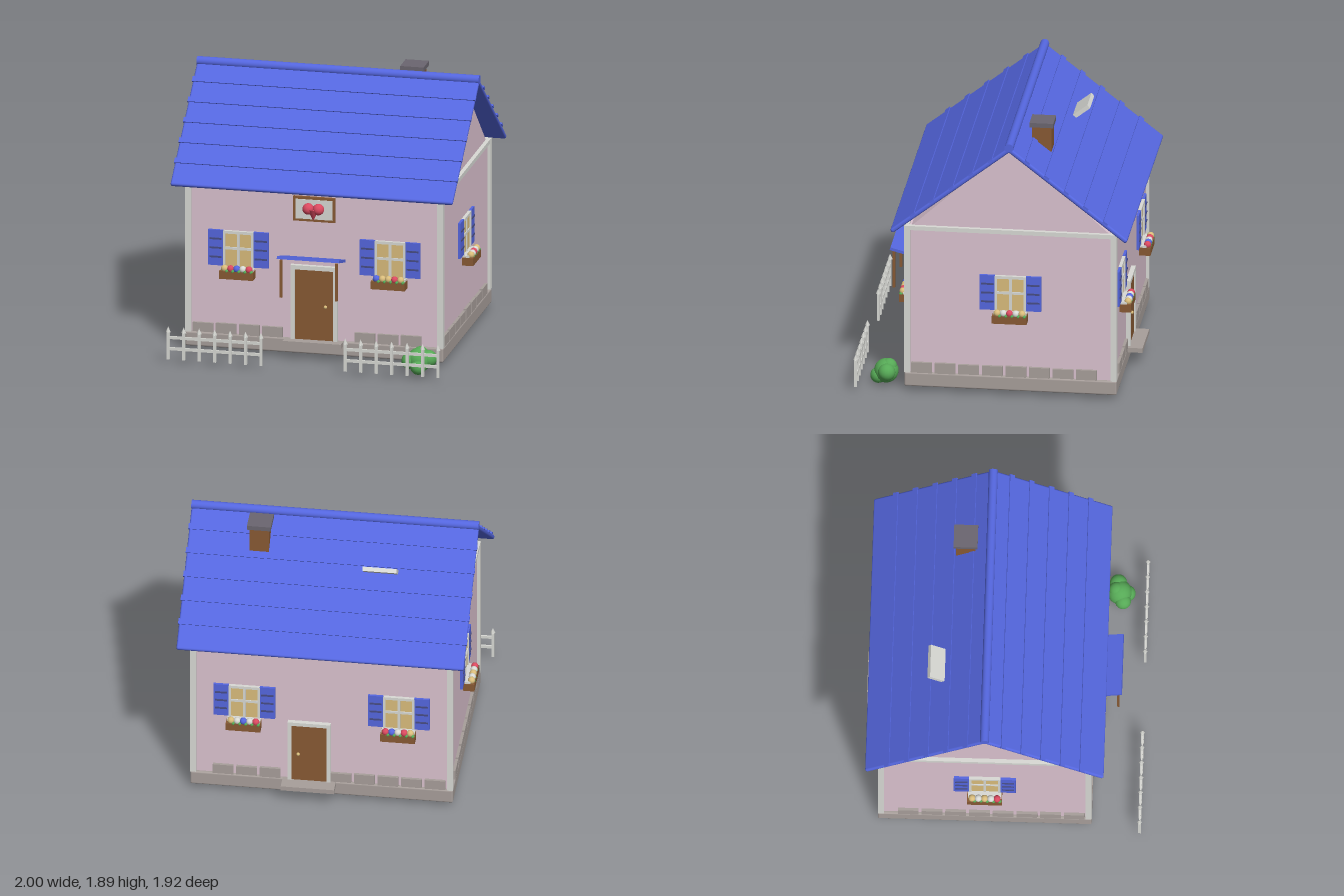
import * as THREE from 'three';
import { RoundedBoxGeometry } from 'three/addons/geometries/RoundedBoxGeometry.js';

const mat = (name, color) => {
  const m = new THREE.MeshStandardMaterial({ color });
  m.name = name;
  return m;
};

export function createModel() {
  const pink = mat('wallPink', 0xdcc3d0), blue = mat('roofBlue', 0x5567e0), white = mat('trimWhite', 0xd9dad5);
  const stone = mat('stoneGrey', 0xa89f9b), dark = mat('capGrey', 0x6b6670), brown = mat('woodBrown', 0x885a34);
  const tan = mat('warmYellow', 0xdabd7c), red = mat('rosyRed', 0xdb4a60), green = mat('leafGreen', 0x56a956);
  const slat = mat('slatBlue', 0x474d86);

  const MID = -0.125;            // z of the house centre
  const HX = 0.89, HZ = 0.715;   // half sizes of the walls
  const model = new THREE.Group();
  model.name = 'cottage';

  const add = (parent, name, geo, m, x, y, z) => {
    const mesh = new THREE.Mesh(geo, m);
    mesh.name = name;
    mesh.position.set(x, y, z);
    parent.add(mesh);
    return mesh;
  };
  const box = (p, name, m, w, h, d, x, y, z) => add(p, name, new THREE.BoxGeometry(w, h, d), m, x, y, z);
  const ball = (p, name, m, r, x, y, z) => add(p, name, new THREE.SphereGeometry(r, 18, 12), m, x, y, z);
  const group = (parent, name, x, y, z, ry = 0) => {
    const g = new THREE.Group();
    g.name = name;
    g.position.set(x, y, z);
    g.rotation.y = ry;
    parent.add(g);
    return g;
  };

  // Base, walls and gables
  add(model, 'foundation', new RoundedBoxGeometry(1.82, 0.103, 1.47, 2, 0.012), stone, 0, 0.085, MID);
  box(model, 'walls', pink, HX * 2, 1.07, HZ * 2, 0, 0.67, MID);
  const tri = new THREE.Shape([[-0.695, 1.2], [0.695, 1.2], [0, 1.83]].map(([a, b]) => new THREE.Vector2(a, b)));
  const gableGeo = new THREE.ExtrudeGeometry(tri, { depth: 1.76, bevelEnabled: false });
  gableGeo.translate(0, 0, -0.88);
  add(model, 'gables', gableGeo, pink, 0, 0, MID).rotation.y = Math.PI / 2;

  // Corner posts and top trim
  for (const s of [-1, 1]) {
    for (const t of [-1, 1]) box(model, 'cornerPost', white, 0.042, 1.08, 0.042, s * 0.889, 0.675, MID + t * 0.714);
    box(model, 'sideTopTrim', white, 0.03, 0.03, 1.47, s * 0.893, 1.2, MID);
    box(model, 'longTopTrim', white, 1.8, 0.03, 0.03, 0, 1.2, MID + s * 0.718);
  }

  // Roof slopes with overlapping courses
  const TILT = Math.atan2(0.64, 0.815);
  for (const ry of [0, Math.PI]) {
    const side = group(model, ry ? 'backRoof' : 'frontRoof', 0, 1.84, MID, ry);
    const slope = group(side, 'slope', 0, 0, 0);
    slope.rotation.x = TILT;
    add(slope, 'roofSlab', new RoundedBoxGeometry(1.99, 0.032, 1.036, 3, 0.014), blue, 0, 0, 0.518);
    for (let i = 1; i <= 5; i++) box(slope, 'tileCourse', blue, 2, 0.014, 0.04, 0, 0.016, i * 0.1715 - 0.02);
  }
  add(model, 'ridge', new THREE.CylinderGeometry(0.031, 0.031, 1.99, 20), blue, 0, 1.855, MID).rotation.z = Math.PI / 2;

  // Chimney and roof hatch
  box(model, 'chimney', brown, 0.135, 0.32, 0.135, 0.497, 1.7, -0.298);
  box(model, 'chimneyCap', dark, 0.165, 0.032, 0.165, 0.497, 1.87, -0.298);
  box(model, 'roofHatch', white, 0.235, 0.03, 0.13, -0.3575, 1.66, -0.472).rotation.x = TILT;

  // Window with shutters and flower box, facing local +z
  const makeWindow = (x, z, ry, flowers) => {
    const w = group(model, 'window', x, 0, z, ry);
    box(w, 'glass', tan, 0.19, 0.25, 0.012, 0, 0.74, 0.005);
    for (const s of [-1, 1]) {
      box(w, 'frameSide', white, 0.016, 0.265, 0.024, s * 0.1, 0.744, 0.01);
      box(w, 'shutter', blue, 0.106, 0.254, 0.018, s * 0.16, 0.752, 0.011);
      for (let i = -1; i <= 1; i++) box(w, 'shutterSlat', slat, 0.085, 0.012, 0.008, s * 0.16, 0.752 + i * 0.065, 0.022);
    }
    box(w, 'frameTop', white, 0.216, 0.02, 0.024, 0, 0.867, 0.01);
    box(w, 'sill', white, 0.23, 0.016, 0.06, 0, 0.612, 0.03);
    box(w, 'mullion', white, 0.02, 0.25, 0.02, 0, 0.74, 0.008);
    box(w, 'crossbar', white, 0.19, 0.018, 0.02, 0, 0.752, 0.008);
    box(w, 'flowerBox', brown, 0.24, 0.056, 0.078, 0, 0.578, 0.049);
    flowers.forEach((m, i) => {
      const fx = (i - 2) * 0.043;
      ball(w, 'flower', m, 0.025, fx, 0.62, 0.064);
      ball(w, 'leaf', green, 0.014, fx + 0.018, 0.604, 0.076);
    });
  };
  const FRONT = MID + HZ, BACK = MID - HZ;
  makeWindow(-0.535, FRONT, 0, [tan, red, blue, white, red]);
  makeWindow(0.535, FRONT, 0, [blue, tan, tan, red, tan]);
  makeWindow(0.535, BACK, Math.PI, [tan, white, blue, white, red]);
  makeWindow(-0.535, BACK, Math.PI, [red, blue, white, red, tan]);
  makeWindow(HX, MID, Math.PI / 2, [tan, white, red, white, tan]);
  makeWindow(-HX, MID, -Math.PI / 2, [tan, white, tan, white, red]);

  // Doors with frame, knob and step
  const makeDoor = (name, x, z, ry, k, knobSide) => {
    const d = group(model, name, x, 0.135, z, ry);
    box(d, 'doorPanel', brown, 0.27 * k, 0.5 * k, 0.03, 0, 0.25 * k, 0.008);
    for (const s of [-1, 1]) box(d, 'doorJamb', white, 0.03 * k, 0.53 * k, 0.04, s * 0.15 * k, 0.265 * k, 0.012);
    box(d, 'doorHead', white, 0.33 * k, 0.03 * k, 0.04, 0, 0.517 * k, 0.012);
    ball(d, 'doorKnob', tan, 0.012, knobSide * 0.083 * k, 0.245 * k, 0.033);
    box(d, 'doorStep', stone, 0.41 * k, 0.033, 0.12, 0, -0.015, 0.06 - 0.03 * (k === 1));
  };
  makeDoor('frontDoor', 0, FRONT, 0, 1, 1);
  makeDoor('backDoor', 0.085, BACK, Math.PI, 0.9, -1);
  box(model, 'frontStep', stone, 0.41, 0.033, 0.1, 0, 0.12, 0.632);

  // Awning with hanging posts
  box(model, 'awning', blue, 0.44, 0.02, 0.195, 0, 0.742, 0.7).rotation.x = -0.26;
  for (const s of [-1, 1]) box(model, 'awningPost', brown, 0.018, 0.268, 0.018, s * 0.195, 0.61, 0.77);

  // Heart sign
  const sign = group(model, 'heartSign', 0, 1.072, FRONT);
  box(sign, 'signBoard', brown, 0.295, 0.175, 0.02, 0, 0, 0.01);
  box(sign, 'signFace', white, 0.26, 0.14, 0.008, 0, 0, 0.02);
  for (const s of [-1, 1]) ball(sign, 'heartLobe', red, 0.04, s * 0.036, 0.01, 0.045);
  add(sign, 'heartPoint', new THREE.ConeGeometry(0.044, 0.085, 20), red, 0, -0.03, 0.045).rotation.x = Math.PI;

  // Stone blocks along the foot of the walls
  const block = (x, z, ry, i) => {
    const b = box(model, 'stoneBlock', stone, 0.143, 0.065 + 0.012 * Math.abs(Math.sin(i * 2.3)), 0.03, x, 0.173, z);
    b.rotation.y = ry;
  };
  for (let i = 0; i < 10; i++) {
    const x = -0.785 + i * 0.163;
    if (Math.abs(x) > 0.2) block(x, FRONT + 0.005, 0, i);
    if (Math.abs(x - 0.085) > 0.2) block(x, BACK - 0.005, 0, i + 3);
  }
  for (let i = 0; i < 8; i++) for (const s of [-1, 1]) block(s * (HX + 0.005), 0.49 - i * 0.163, Math.PI / 2, i + 5);

  // Picket fences
  for (const s of [-1, 1]) {
    const f = group(model, 'fence', s * 0.624, 0, 0.94);
    for (let i = -3; i <= 3; i++) {
      box(f, 'picket', white, 0.02, 0.2, 0.018, i * 0.109, 0.13, 0);
      add(f, 'picketTip', new THREE.ConeGeometry(0.018, 0.04, 4), white, i * 0.109, 0.245, 0);
    }
    for (const y of [0.107, 0.187]) box(f, 'fenceRail', white, 0.67, 0.02, 0.012, 0, y, 0);
  }

  // Bush
  const bush = group(model, 'bush', 0.775, 0, 0.76);
  [[0.085, 0, 0.09, -0.01], [0.055, -0.065, 0.085, 0.015], [0.06, 0.062, 0.1, -0.02], [0.055, 0.005, 0.055, 0.045],
    [0.055, 0.005, 0.125, -0.03]].forEach(([r, x, y, z]) => ball(bush, 'foliage', green, r, x, y, z));

  return model;
}
